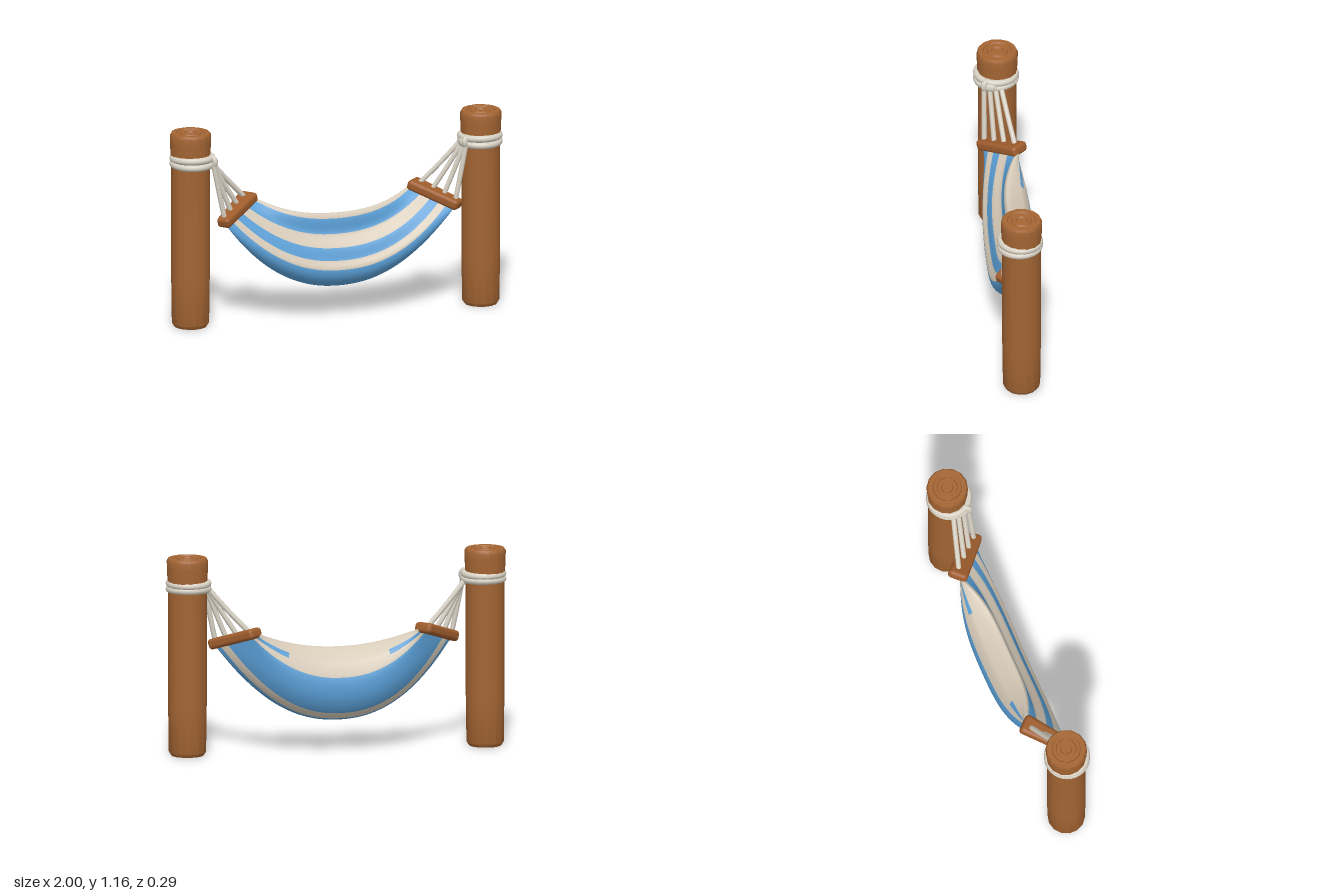
import * as THREE from 'three';
import { toCreasedNormals } from 'three/addons/utils/BufferGeometryUtils.js';
import { RoundedBoxGeometry } from 'three/addons/geometries/RoundedBoxGeometry.js';

const V = (x, y, z) => new THREE.Vector3(x, y, z);

function material(name, color) {
  const m = new THREE.MeshStandardMaterial({ color });
  m.name = name;
  return m;
}

// Ends of the right-hand spreader bar: outer front and inner back
const BAR_OUT = V(0.715, 0.625, 0.112);
const BAR_IN = V(0.485, 0.725, -0.107);
const barPoint = (u, s) => {
  const p = BAR_OUT.clone().lerp(BAR_IN, u);
  p.x *= s;
  return p;
};

// Middle cross-section of the cloth: z, y, position along the bar, stripe colour (0 cream, 1 blue, 2 blue tips only)
const SECTION = [
  [0.0, 0.61, 0.99, 0], [0.02, 0.58, 0.94, 1], [0.03, 0.49, 0.72, 0], [0.085, 0.42, 0.53, 1],
  [0.11, 0.35, 0.36, 0], [0.135, 0.3, 0.22, 1], [0.12, 0.24, 0.12, 1], [0.07, 0.192, 0.06, 1],
  [0.0, 0.18, 0.07, 1], [-0.05, 0.195, 0.15, 0], [-0.1, 0.235, 0.3, 1], [-0.14, 0.31, 0.5, 1],
  [-0.15, 0.39, 0.72, 1], [-0.14, 0.45, 0.83, 0], [-0.115, 0.51, 0.88, 2], [-0.09, 0.545, 0.93, 0],
];

// Cloth lofted between the bars, sagging in the middle
function clothGeometry() {
  const sub = 4, cols = 48, rows = SECTION.length * sub;
  const curve = new THREE.CatmullRomCurve3(SECTION.map(([z, y, u]) => V(z, y, u)), true);
  const pos = [], faces = [[], []];
  for (let i = 0; i < rows; i++) {
    const q = curve.getPoint(i / rows);
    const end = barPoint(q.z, 1);
    for (let j = 0; j <= cols; j++) {
      const s = (j / cols) * 2 - 1, a = Math.abs(s);
      pos.push(
        end.x * s,
        THREE.MathUtils.lerp(q.y, end.y, Math.pow(a, 2.2)),
        THREE.MathUtils.lerp(q.x, end.z, Math.pow(a, 3.5)));
    }
  }
  for (let i = 0; i < rows; i++) {
    const stripe = SECTION[Math.floor(i / sub)][3];
    for (let j = 0; j < cols; j++) {
      const s = Math.abs(((j + 0.5) / cols) * 2 - 1);
      const blue = stripe === 1 || (stripe === 2 && s > 0.58);
      const a = i * (cols + 1) + j, b = ((i + 1) % rows) * (cols + 1) + j;
      faces[blue ? 1 : 0].push(a, b, a + 1, b, b + 1, a + 1);
    }
  }
  const g = new THREE.BufferGeometry();
  g.setAttribute('position', new THREE.Float32BufferAttribute(pos, 3));
  g.setIndex([...faces[0], ...faces[1]]);
  g.addGroup(0, faces[0].length, 0);
  g.addGroup(faces[0].length, faces[1].length, 1);
  g.computeVertexNormals();
  return g;
}

// Log post with shallow growth rings cut in the top
function postGeometry() {
  const profile = [
    [0, 0], [0.095, 0], [0.108, 0.02], [0.112, 0.3], [0.112, 0.95], [0.119, 1.1], [0.12, 1.145],
    [0.112, 1.16], [0.086, 1.16], [0.08, 1.15], [0.062, 1.15], [0.056, 1.16], [0.036, 1.16],
    [0.03, 1.15], [0, 1.15],
  ].map(([r, y]) => new THREE.Vector2(r, y));
  return toCreasedNormals(new THREE.LatheGeometry(profile, 14), 0.6);
}

// Spreader bar, a little broader at its inner end
function barGeometry(length) {
  const g = new RoundedBoxGeometry(length, 0.062, 0.1, 3, 0.022);
  const p = g.attributes.position;
  for (let i = 0; i < p.count; i++) p.setZ(i, p.getZ(i) * (1 + 0.4 * p.getX(i) / length));
  return g;
}

export function createModel() {
  const wood = material('post wood', 0xa46533);
  const barWood = material('bar wood', 0x9e5c2c);
  const rope = material('rope', 0xd8d1c4);
  const cream = material('cream cloth', 0xd6cab8);
  const blue = material('blue cloth', 0x5a9fd6);
  cream.side = blue.side = THREE.DoubleSide;

  const model = new THREE.Group();
  const add = (parent, name, geometry, mat) => {
    const m = new THREE.Mesh(geometry, mat);
    m.name = name;
    parent.add(m);
    return m;
  };

  add(model, 'hammockCloth', clothGeometry(), [cream, blue]);

  for (const s of [-1, 1]) {
    const side = new THREE.Group();
    side.name = s > 0 ? 'leftSupport' : 'rightSupport';
    model.add(side);

    add(side, 'post', postGeometry(), wood).position.x = 0.875 * s;

    // Rope wound twice round the post, with a knot on the inner side
    for (const [y, tilt] of [[0.977, 0.03], [1.01, -0.03]]) {
      const ring = add(side, 'ropeWrap', new THREE.TorusGeometry(0.113, 0.02, 10, 32), rope);
      ring.position.set(0.867 * s, y, 0.008);
      ring.rotation.x = Math.PI / 2 + tilt;
    }
    const loop = add(side, 'knotLoop', new THREE.TorusGeometry(0.025, 0.017, 8, 18), rope);
    loop.position.set(0.768 * s, 0.993, 0.07);
    loop.rotation.y = 0.9 * s;
    const knot = add(side, 'knot', new THREE.SphereGeometry(0.03, 14, 10), rope);
    knot.position.set(0.758 * s, 0.985, 0.04);
    knot.scale.set(0.9, 1.1, 1.5);

    // Spreader bar
    const a = barPoint(0, s), b = barPoint(1, s);
    const along = b.clone().sub(a);
    const length = along.length();
    along.normalize();
    const across = along.clone().cross(V(0, 1, 0)).normalize();
    const up = across.clone().cross(along);
    const bar = add(side, 'spreaderBar', barGeometry(length), barWood);
    bar.quaternion.setFromRotationMatrix(new THREE.Matrix4().makeBasis(along, up, across));
    bar.position.copy(a).add(b).multiplyScalar(0.5);

    // Ropes fanning from the knot to the bar
    [0.1, 0.35, 0.6, 0.87].forEach((u, i) => {
      const start = V(0.762 * s, 0.985, 0.085 - i * 0.032);
      const end = barPoint(u, s);
      const middle = start.clone().lerp(end, 0.5).add(V(0, -0.006, 0));
      const path = new THREE.CatmullRomCurve3([start, middle, end]);
      add(side, 'fanRope', new THREE.TubeGeometry(path, 10, 0.015, 8), rope);
    });
  }
  return model;
}
